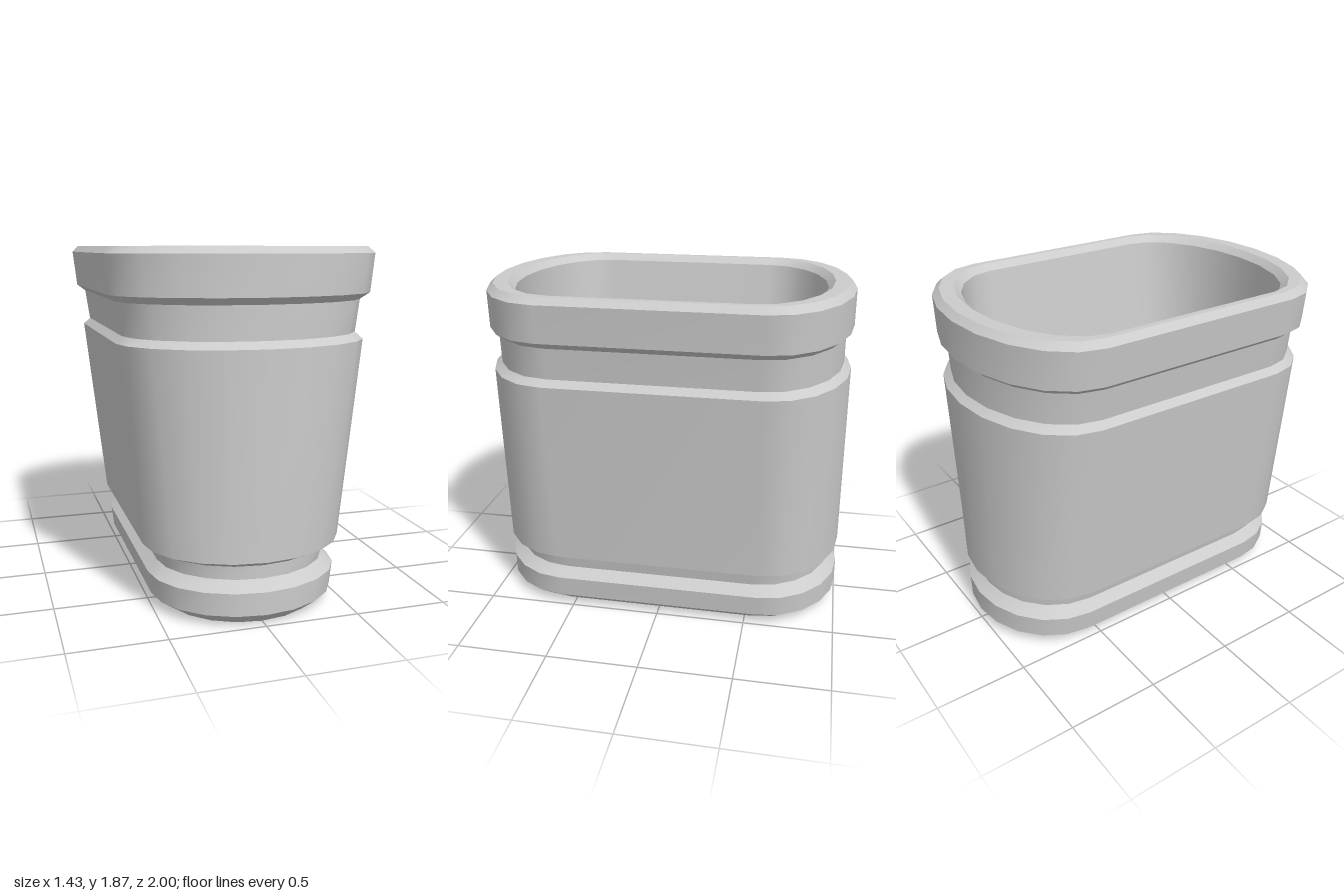
import * as THREE from 'three';

const STEPS = 10;       // facets on each rounded end
const STRAIGHT = 0.57;  // share of the half length that stays straight

// Unit outline: straight sides with a half-ellipse at each end
const outline = [];
for (const end of [0, Math.PI]) {
  for (let k = 0; k <= STEPS; k++) {
    const a = end + (Math.PI * k) / STEPS;
    outline.push([Math.cos(a), (end ? -1 : 1) * STRAIGHT + (1 - STRAIGHT) * Math.sin(a)]);
  }
}

// Sections are [y, half width, half length]; each band is smooth around
// and creased against its neighbours
function skin(name, sections, material) {
  const n = outline.length, pos = [], index = [];
  for (let s = 0; s < sections.length - 1; s++) {
    const base = pos.length / 3;
    for (const [y, w, l] of [sections[s], sections[s + 1]]) {
      for (const [x, z] of outline) pos.push(x * w, y, z * l);
    }
    for (let i = 0; i < n; i++) {
      const j = (i + 1) % n;
      const a = base + i, b = base + j, c = a + n, d = b + n;
      index.push(a, c, b, b, c, d);
    }
  }
  const geometry = new THREE.BufferGeometry();
  geometry.setAttribute('position', new THREE.Float32BufferAttribute(pos, 3));
  geometry.setIndex(index);
  geometry.computeVertexNormals();
  const mesh = new THREE.Mesh(geometry, material);
  mesh.name = name;
  return mesh;
}

export function createModel() {
  const group = new THREE.Group();
  group.name = 'ovalBin';
  const grey = new THREE.MeshStandardMaterial({ color: 0xcccccc });

  // Underside, bevelled foot and the groove above it
  group.add(skin('foot', [
    [0, 0, 0], [0, 0.42, 0.935], [0.06, 0.495, 1], [0.18, 0.51, 1],
    [0.23, 0.455, 0.94], [0.3, 0.47, 0.94],
  ], grey));

  // Tapered body with bevelled edges and the upper groove
  group.add(skin('body', [
    [0.3, 0.47, 0.94], [0.335, 0.535, 1], [1.39, 0.655, 1],
    [1.425, 0.62, 0.96], [1.595, 0.645, 0.96],
  ], grey));

  // Rim band, its flat top and inner bevel
  group.add(skin('rim', [
    [1.595, 0.645, 0.96], [1.63, 0.69, 1], [1.83, 0.713, 1],
    [1.865, 0.68, 0.965], [1.865, 0.645, 0.885], [1.83, 0.61, 0.85],
  ], grey));

  // Hollow inside and floor
  group.add(skin('interior', [
    [1.83, 0.61, 0.85], [0.06, 0.39, 0.85], [0.06, 0, 0],
  ], grey));

  return group;
}
